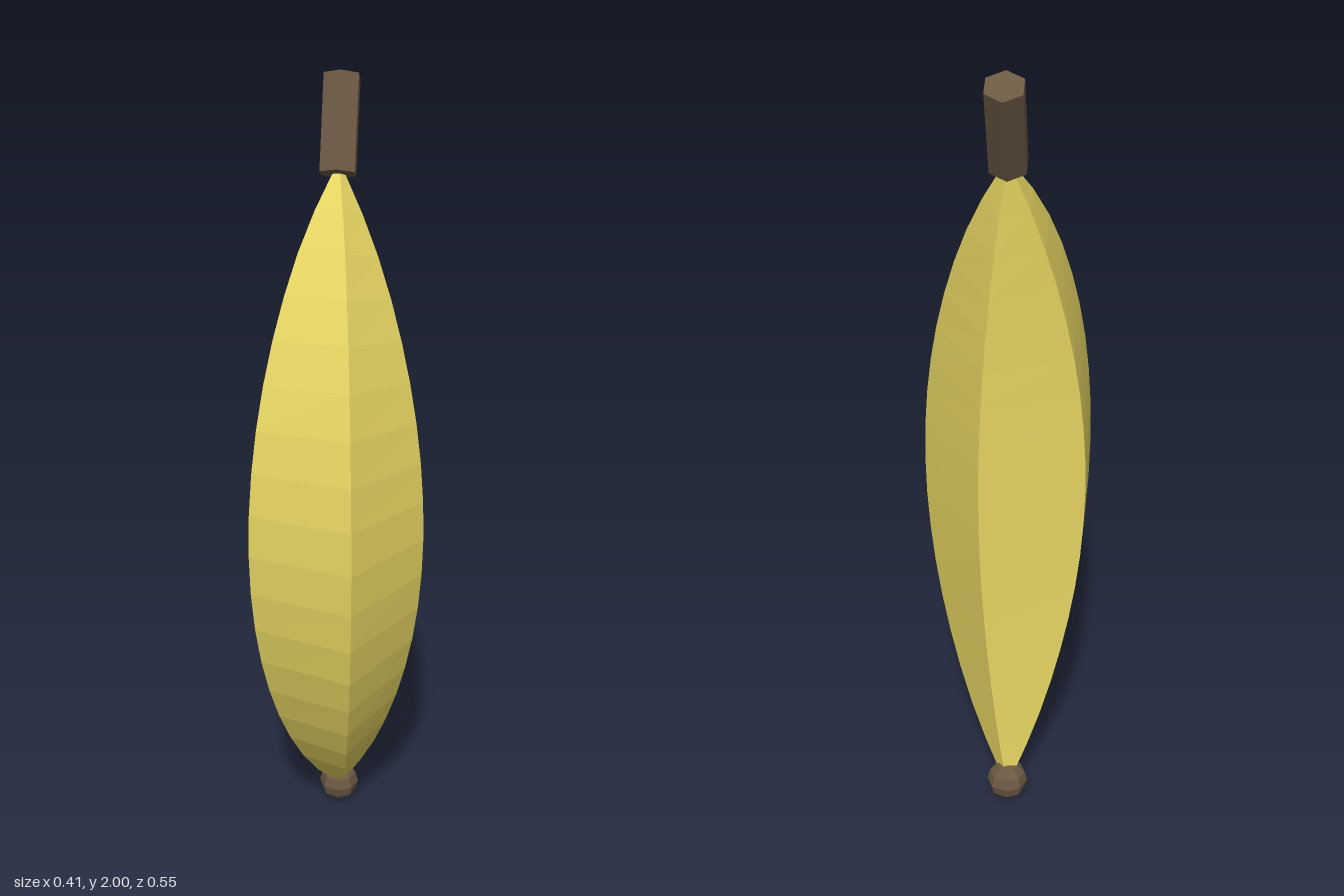
import * as THREE from 'three';

const yellow = new THREE.MeshStandardMaterial({ color: 0xe6d562 });
yellow.name = 'peel yellow';
const brown = new THREE.MeshStandardMaterial({ color: 0x6b5843 });
brown.name = 'stem brown';

const X = -0.022;      // the whole fruit hangs on this plane
const BEND = 0.467;    // half angle of the arc
const HALF = 0.855;    // half height of the arc
const MID_Y = 0.915;
const END_Z = -0.145;

// Faceted mesh with one normal per face
function facetedMesh(name, geometry, material) {
  const flat = geometry.toNonIndexed();
  flat.computeVertexNormals();
  const mesh = new THREE.Mesh(flat, material);
  mesh.name = name;
  return mesh;
}

// Five-sided prism bent along an arc and tapered to both tips
function peelGeometry() {
  const geometry = new THREE.CylinderGeometry(1, 1, 1, 5, 18, false, Math.PI / 2);
  const radius = HALF / Math.sin(BEND);
  const p = geometry.attributes.position;
  for (let i = 0; i < p.count; i++) {
    const t = p.getY(i);
    const a = t * 2 * BEND;
    const swell = Math.max(0, Math.cos(Math.PI * t));
    const r = Math.max(0.014, 0.228 * Math.pow(swell, 0.75));
    const out = p.getZ(i) * r;
    p.setXYZ(
      i,
      X + p.getX(i) * r,
      MID_Y + (radius + out) * Math.sin(a),
      END_Z + radius * (Math.cos(a) - Math.cos(BEND)) + out * Math.cos(a)
    );
  }
  return geometry;
}

export function createModel() {
  const group = new THREE.Group();
  group.name = 'banana';

  group.add(facetedMesh('peel', peelGeometry(), yellow));

  // Six-sided stem leaning back along the end of the arc
  const stem = facetedMesh('stem', new THREE.CylinderGeometry(0.048, 0.048, 0.233, 6), brown);
  stem.position.set(X, 1.874, -0.183);
  stem.rotation.x = -0.455;
  group.add(stem);

  // Round blossom end
  const tip = facetedMesh('blossomTip', new THREE.SphereGeometry(0.053, 8, 6), brown);
  tip.position.set(X, 0.053, END_Z);
  group.add(tip);

  return group;
}
